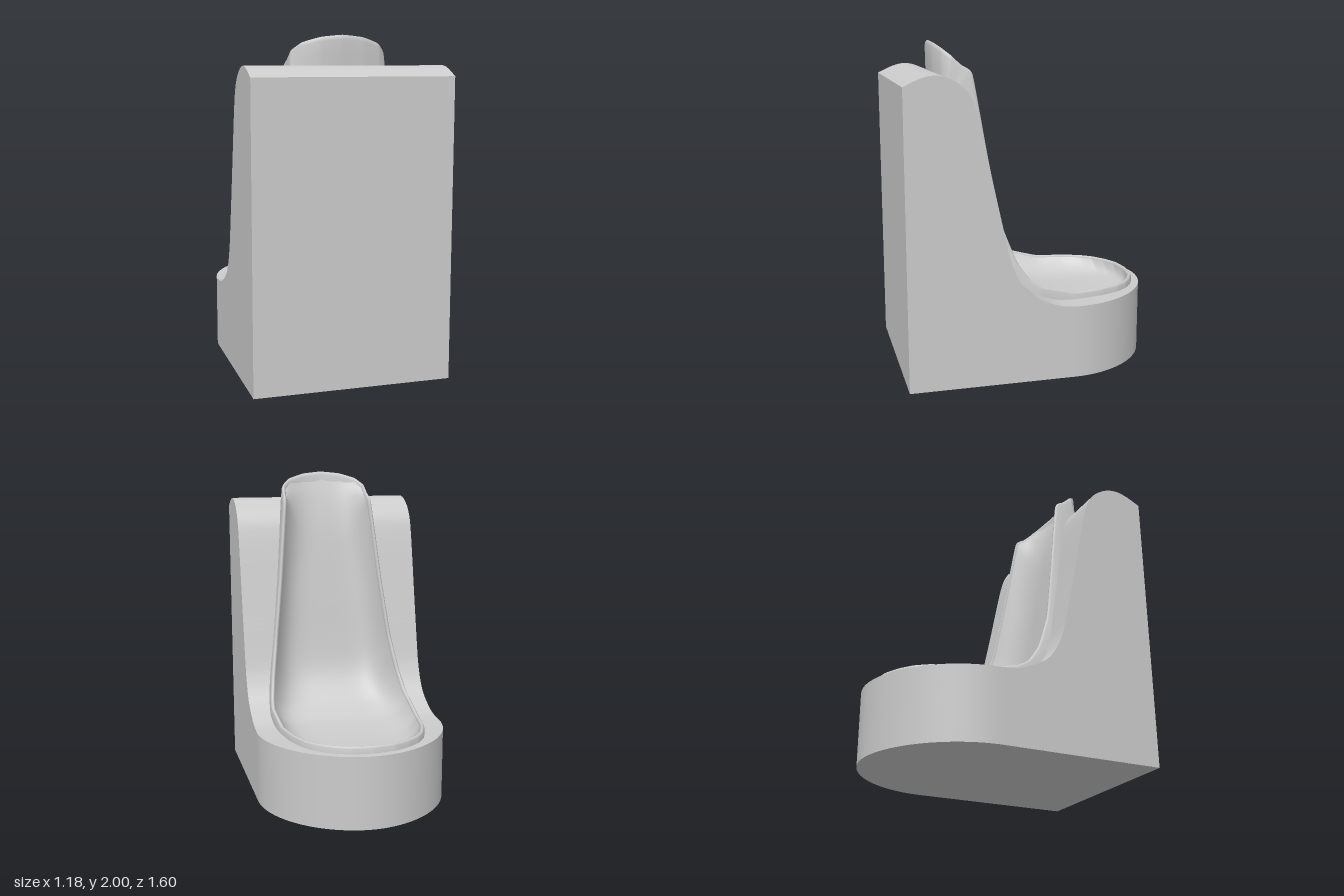
import * as THREE from 'three';
import { mergeVertices } from 'three/addons/utils/BufferGeometryUtils.js';

const V = (x, y, z) => new THREE.Vector3(x, y, z);
const material = new THREE.MeshStandardMaterial({ color: 0xcccccc, side: THREE.DoubleSide });

// Smooth sheet through rows of points
function sheet(name, rows) {
  const pos = rows.flat().flatMap((p) => [p.x, p.y, p.z]);
  const n = rows[0].length, index = [];
  for (let r = 0; r < rows.length - 1; r++) {
    for (let c = 0; c < n - 1; c++) {
      const a = r * n + c, b = a + n;
      index.push(a, b, a + 1, b, b + 1, a + 1);
    }
  }
  let geo = new THREE.BufferGeometry();
  geo.setAttribute('position', new THREE.Float32BufferAttribute(pos, 3));
  geo.setIndex(index);
  geo = mergeVertices(geo, 1e-5);
  geo.computeVertexNormals();
  const mesh = new THREE.Mesh(geo, material);
  mesh.name = name;
  return mesh;
}

// Linear lookup of y over x in a list of points sorted by x
function lookup(list, x) {
  if (x <= list[0].x) return list[0].y;
  for (let i = 1; i < list.length; i++) {
    const a = list[i - 1], b = list[i];
    if (x <= b.x) return a.y + (b.y - a.y) * (x - a.x) / Math.max(b.x - a.x, 1e-6);
  }
  return list[list.length - 1].y;
}

// Height of the base along z
const profile = new THREE.SplineCurve([
  [-0.8, 0.445], [-0.5, 0.445], [-0.3, 0.445], [-0.2, 0.447], [-0.1, 0.46], [0, 0.5], [0.08, 0.55],
  [0.13, 0.61], [0.17, 0.69], [0.2, 0.78], [0.25, 1.0], [0.3, 1.23], [0.35, 1.47], [0.38, 1.6],
  [0.41, 1.69], [0.46, 1.76], [0.54, 1.812], [0.62, 1.83], [0.7, 1.815], [0.8, 1.77],
].map(([z, y]) => new THREE.Vector2(z, y))).getPoints(400);

// Half of the shell's rim, front to top: x, y, z, then the skirt's drop in y and z
const RIM = [
  [0, 0.487, -0.75, -0.1, 0], [0.13, 0.487, -0.735, -0.1, 0], [0.23, 0.487, -0.69, -0.1, 0],
  [0.31, 0.487, -0.63, -0.1, 0], [0.37, 0.487, -0.55, -0.1, 0], [0.42, 0.487, -0.42, -0.1, 0],
  [0.45, 0.487, -0.25, -0.1, 0], [0.465, 0.54, -0.04, -0.1, 0.02], [0.457, 0.587, 0.037, -0.1, 0.04],
  [0.436, 0.7, 0.115, -0.06, 0.08], [0.398, 0.93, 0.2, -0.03, 0.1], [0.348, 1.33, 0.27, -0.03, 0.1],
  [0.3, 1.81, 0.347, -0.09, 0.1], [0.292, 1.865, 0.41, -0.15, 0.07], [0.283, 1.918, 0.47, -0.17, 0.03],
  [0.235, 1.957, 0.522, -0.19, 0], [0.13, 1.988, 0.56, -0.2, -0.01], [0, 2, 0.575, -0.2, -0.02],
];
const loop = [...RIM, ...RIM.slice(1, -1).reverse().map(([x, ...rest]) => [-x, ...rest])];
const rimCurve = new THREE.CatmullRomCurve3(loop.map((p) => V(p[0], p[1], p[2])), true, 'catmullrom', 0.2);
const dropCurve = new THREE.CatmullRomCurve3(loop.map((p) => V(0, p[3], p[4])), true, 'catmullrom', 0.2);

// Point on the rim's section: out = sideways offset, d = share of the drop
function rimPoint(t, out, d) {
  const drop = dropCurve.getPoint(t);
  // Averaging the direction over a span keeps the rim smooth around its corners
  const along = rimCurve.getPoint((t + 0.012) % 1).sub(rimCurve.getPoint((t + 0.988) % 1));
  const side = along.cross(drop).normalize();
  return rimCurve.getPoint(t).addScaledVector(side, out).addScaledVector(drop, d);
}

function createBase() {
  const W = 0.59, zc = -0.21, zs = [];
  for (let i = 0; i <= 60; i++) zs.push(zc - W * Math.cos(i / 60 * Math.PI / 2));
  for (let i = 1; i <= 140; i++) zs.push(zc + (0.8 - zc) * i / 140);
  // Half width: straight sides with a slightly pointed round front
  const half = (z) => (z > zc ? W : W * Math.max(0, 1 - ((zc - z) / W) ** 1.9) ** (1 / 1.9));
  const h = (z) => lookup(profile, z);

  // Opening for the shell, just inside its rim
  const opening = [];
  for (let i = 0; i <= 200; i++) {
    const p = rimPoint(i / 400, -0.015, 0);
    opening.push(new THREE.Vector2(p.z, Math.max(0, p.x)));
  }
  opening.sort((a, b) => a.x - b.x);
  const hole = (z) => (z < opening[0].x || z > opening[200].x ? 0 : Math.min(lookup(opening, z), half(z)));

  const base = new THREE.Group();
  base.name = 'base';
  base.add(
    sheet('baseTopLeft', zs.map((z) => [V(hole(z), h(z), z), V(half(z), h(z), z)])),
    sheet('baseTopRight', zs.map((z) => [V(-half(z), h(z), z), V(-hole(z), h(z), z)])),
    sheet('baseSideLeft', zs.map((z) => [V(half(z), h(z), z), V(half(z), 0, z)])),
    sheet('baseSideRight', zs.map((z) => [V(-half(z), 0, z), V(-half(z), h(z), z)])),
    sheet('baseBottom', zs.map((z) => [V(half(z), 0, z), V(-half(z), 0, z)])),
    sheet('baseWall', [[V(-W, 0, 0.8), V(-W, h(0.8), 0.8)], [V(W, 0, 0.8), V(W, h(0.8), 0.8)]]),
  );
  return base;
}

function createShell() {
  const shell = new THREE.Group();
  shell.name = 'seatShell';

  // Rounded rim with its skirt, swept around the whole outline
  const section = [[-0.028, 0.5], [-0.028, 0.12], [-0.02, 0.02], [-0.013, 0], [-0.006, 0.02], [0, 0.12], [0.003, 0.5], [0.006, 1]];
  const rows = [];
  for (let i = 0; i <= 204; i++) rows.push(section.map(([o, d]) => rimPoint((i % 204) / 204, o, d)));
  shell.add(sheet('rim', rows));

  // Dished seat and backrest: centre line y, z and the fullness of each section
  const centre = new THREE.CatmullRomCurve3([
    [0.475, -0.724, 6], [0.43, -0.705, 6], [0.405, -0.67, 6], [0.39, -0.615, 6], [0.38, -0.53, 6],
    [0.375, -0.4, 6], [0.38, -0.23, 6], [0.405, 0, 6], [0.445, 0.11, 6], [0.52, 0.215, 6],
    [0.72, 0.325, 6], [1.22, 0.4, 5], [1.6, 0.455, 4], [1.82, 0.503, 3], [1.997, 0.557, 3],
  ].map(([y, z, p]) => V(p, y, z)), false, 'catmullrom', 0.45);
  const pan = [];
  for (let j = 0; j <= 98; j++) {
    const edge = rimPoint(j / 7 / loop.length, -0.026, 0.1);
    const mid = centre.getPoint(j / 98);
    const row = [];
    for (let c = -20; c <= 20; c++) {
      const u = Math.sin(c / 20 * Math.PI / 2);
      const w = 1 - Math.abs(u) ** mid.x;
      row.push(V(edge.x * u, edge.y + (mid.y - edge.y) * w, edge.z + (mid.z - edge.z) * w));
    }
    pan.push(row);
  }
  shell.add(sheet('seatPan', pan));
  return shell;
}

export function createModel() {
  const model = new THREE.Group();
  model.name = 'moldedSeat';
  model.add(createBase(), createShell());
  return model;
}
